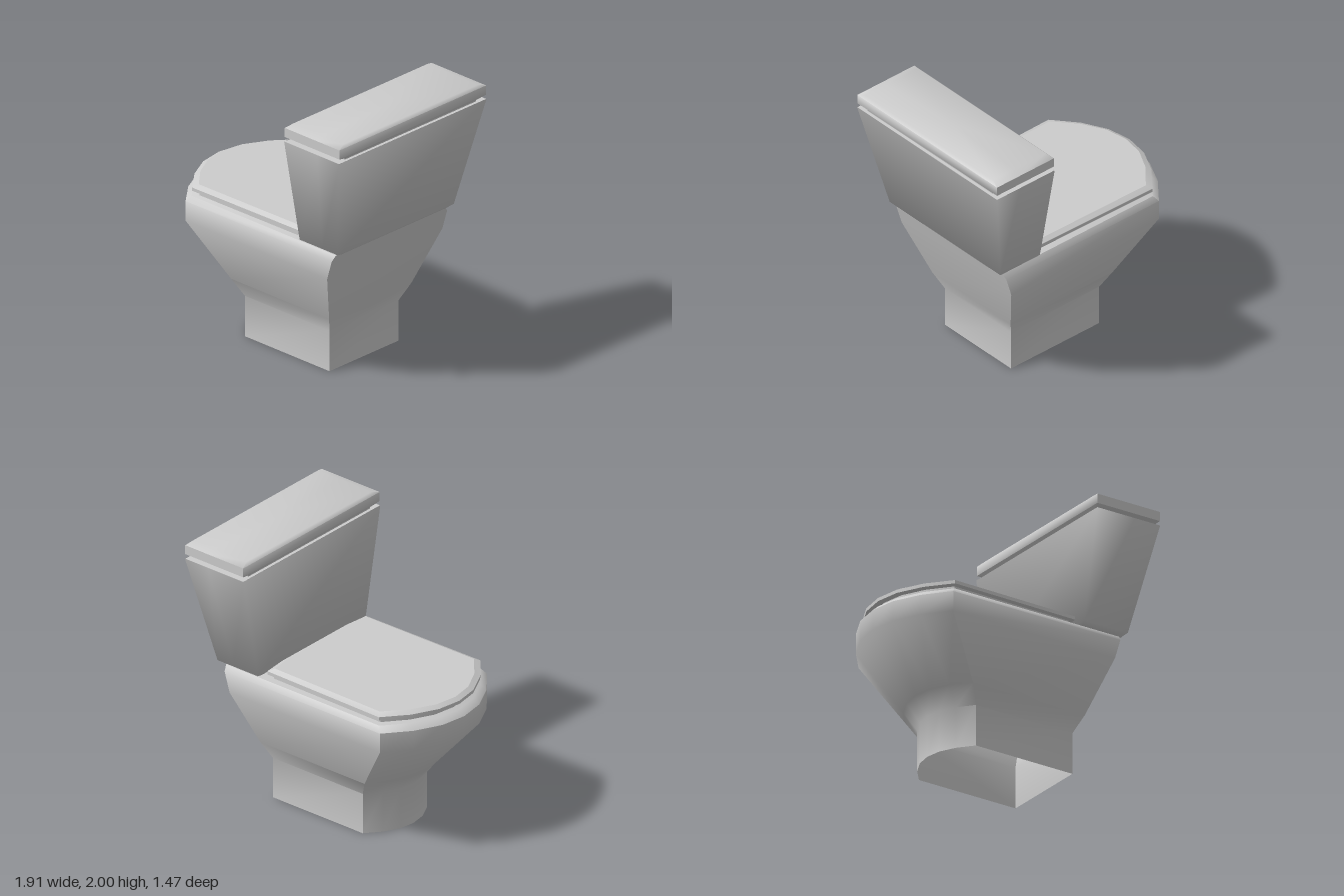
import * as THREE from 'three';
import { toCreasedNormals } from 'three/addons/utils/BufferGeometryUtils.js';

// Skin a stack of [y, loop of (x, z)] sections; loops run counter-clockwise seen from above
function loft(sections, crease, bottom = true, top = true) {
  const n = sections[0][1].length, pos = [], idx = [];
  for (const [y, loop] of sections) for (const [x, z] of loop) pos.push(x, y, z);
  for (let s = 0; s < sections.length - 1; s++) {
    for (let i = 0; i < n; i++) {
      const j = (i + 1) % n, a = s * n + i, b = s * n + j;
      idx.push(a, b, b + n, a, b + n, a + n);
    }
  }
  const cap = (s, up) => {
    const [y, loop] = sections[s], c = pos.length / 3;
    const mid = k => loop.reduce((t, p) => t + p[k], 0) / n;
    pos.push(mid(0), y, mid(1));
    for (let i = 0; i < n; i++) {
      const a = s * n + i, b = s * n + (i + 1) % n;
      idx.push(c, up ? a : b, up ? b : a);
    }
  };
  if (bottom) cap(0, false);
  if (top) cap(sections.length - 1, true);
  const g = new THREE.BufferGeometry();
  g.setAttribute('position', new THREE.Float32BufferAttribute(pos, 3));
  g.setIndex(idx);
  return toCreasedNormals(g, crease);
}

// Outline with a rounded nose towards -x and a straight back
function bowlLoop(nose, shoulder, back, half, backHalf = half, bulge = 0) {
  const curve = [[1, 0.34, 0.89], [1, 0.68, 0.54], [1, 1, 0]]
    .map(([, w, u]) => [shoulder + (nose - shoulder) * u, half * w]);
  const side = [...curve, [back - bulge, backHalf]];
  if (bulge) side.push([back, backHalf * 0.65]);
  return [[nose, 0], ...side, ...side.map(([x, z]) => [x, -z]).reverse()];
}

// Rectangle with one extra point along each end
function boxLoop(x0, x1, half) {
  const xm = x0 + (x1 - x0) * 0.6;
  return [[x0, half], [xm, half], [x1, half], [x1, -half], [xm, -half], [x0, -half]];
}

export function createModel() {
  const group = new THREE.Group();
  const porcelain = new THREE.MeshStandardMaterial({ color: 0xcccccc, side: THREE.DoubleSide });
  porcelain.name = 'porcelain';
  const add = (name, geometry) => {
    const mesh = new THREE.Mesh(geometry, porcelain);
    mesh.name = name;
    group.add(mesh);
  };

  // Pedestal and bowl, open underneath
  add('bowl', loft([
    [0, bowlLoop(-0.5, -0.33, 0.485, 0.345)],
    [0.31, bowlLoop(-0.5, -0.33, 0.485, 0.345)],
    [0.44, bowlLoop(-0.6, -0.4, 0.545, 0.41)],
    [0.85, bowlLoop(-0.96, -0.68, 0.685, 0.575)],
    [1.0, bowlLoop(-0.96, -0.68, 0.73, 0.575)],
    [1.04, bowlLoop(-0.915, -0.65, 0.742, 0.545)],
  ], 0.8, false));

  // Seat ring under the lid
  add('seat', loft([
    [1.035, bowlLoop(-0.865, -0.62, 0.355, 0.5, 0.49)],
    [1.085, bowlLoop(-0.865, -0.62, 0.355, 0.5, 0.49)],
  ], 0.6));

  // Closed lid with a bevelled top
  add('seatLid', loft([
    [1.08, bowlLoop(-0.915, -0.645, 0.4, 0.545, 0.53, 0.02)],
    [1.105, bowlLoop(-0.915, -0.645, 0.4, 0.545, 0.53, 0.02)],
    [1.125, bowlLoop(-0.88, -0.62, 0.365, 0.505, 0.495, 0.025)],
  ], 0.4));

  // Tapered water tank
  add('tank', loft([
    [1.05, boxLoop(0.44, 0.77, 0.52)],
    [1.07, boxLoop(0.425, 0.79, 0.58)],
    [1.875, boxLoop(0.425, 0.955, 0.735)],
  ], 1.65, true, false));
  add('tankRim', loft([
    [1.87, boxLoop(0.427, 0.953, 0.732)],
    [1.875, boxLoop(0.427, 0.953, 0.732)],
  ], 0.5));

  // Tank cover
  add('tankCover', loft([
    [1.875, boxLoop(0.45, 0.93, 0.655)],
    [1.885, boxLoop(0.45, 0.93, 0.655)],
    [1.91, boxLoop(0.428, 0.955, 0.732)],
    [1.98, boxLoop(0.428, 0.955, 0.732)],
    [2.0, boxLoop(0.45, 0.935, 0.668)],
  ], 0.9));

  return group;
}
